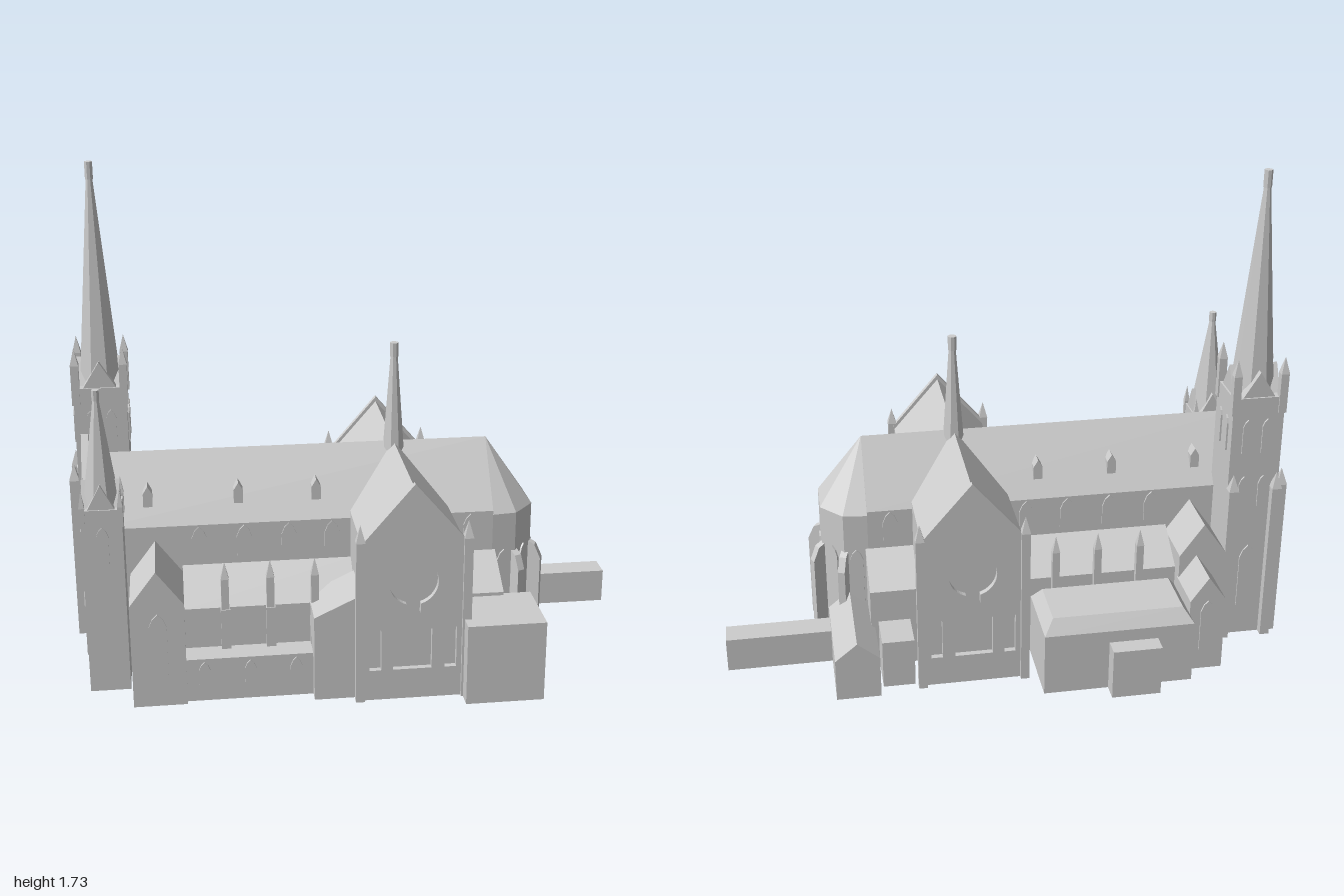
import * as THREE from 'three';

export function createModel() {
  const root = new THREE.Group();
  root.name = 'church';
  const stone = new THREE.MeshStandardMaterial({ color: 0xcccccc, flatShading: true });
  stone.name = 'stone';

  const add = (name, geo, parent = root) => {
    const m = new THREE.Mesh(geo, stone);
    m.name = name;
    parent.add(m);
    return m;
  };
  const shapeOf = pts => new THREE.Shape(pts.map(p => new THREE.Vector2(p[0], p[1])));
  const extrude = (shape, depth) => new THREE.ExtrudeGeometry(shape, { depth, bevelEnabled: false, curveSegments: 20 });

  // box given by its limits
  const block = (name, x0, x1, y0, y1, z0, z1) =>
    add(name, new THREE.BoxGeometry(x1 - x0, y1 - y0, z1 - z0).translate((x0 + x1) / 2, (y0 + y1) / 2, (z0 + z1) / 2));
  // [z, y] outline swept along x
  const alongX = (name, pts, x0, x1) =>
    add(name, extrude(shapeOf(pts.map(([z, y]) => [-z, y])), x1 - x0).rotateY(Math.PI / 2).translate(x0, 0, 0));
  // [x, y] outline swept along z
  const alongZ = (name, pts, z0, z1) => add(name, extrude(shapeOf(pts), z1 - z0).translate(0, 0, z0));
  // house-shaped outline
  const house = (a, b, eave, ridge, y0 = 0) => [[a, y0], [b, y0], [b, eave], [(a + b) / 2, ridge], [a, eave]];

  // thin pointed window, facing +z turned by ry
  const lancet = (x, y, z, w, h, ry = 0, name = 'lancetWindow') => {
    const s = w / 2;
    const m = add(name, extrude(shapeOf([[-s, 0], [s, 0], [s, h - w * 0.8], [s * 0.6, h - w * 0.3], [0, h],
      [-s * 0.6, h - w * 0.3], [-s, h - w * 0.8]]), 0.006));
    m.position.set(x, y, z);
    m.rotation.y = ry;
  };
  // square post with a pyramid cap
  const pinnacle = (x, z, y0, y1, s = 0.03, cap = 0.06) => {
    block('pinnacleShaft', x - s / 2, x + s / 2, y0, y1 - cap, z - s / 2, z + s / 2);
    add('pinnacleCap', new THREE.ConeGeometry(s * 0.75, cap, 4).rotateY(Math.PI / 4).translate(x, y1 - cap / 2, z));
  };
  // eight-sided tapering spire with a small finial
  const spire = (name, x, z, y0, y1, r0, r1, tip) => {
    const h = y1 - tip - y0;
    add(name, new THREE.CylinderGeometry(r1, r0, h, 8).rotateY(Math.PI / 8).translate(x, y0 + h / 2, z));
    add(name + 'Finial', new THREE.CylinderGeometry(r1 * 1.2, r1 * 1.2, tip, 8).rotateY(Math.PI / 8).translate(x, y1 - tip / 2, z));
  };

  const ridgeZ = 0.05, crossX = 0.148;

  // Nave with its roof, west gable and dormers
  alongX('nave', house(-0.115, 0.215, 0.54, 0.76), -0.92, 0.48);
  alongX('westGable', house(-0.115, 0.215, 0.6, 0.83), -0.94, -0.915);
  lancet(-0.94, 0, ridgeZ, 0.11, 0.22, -Math.PI / 2, 'westDoor');
  lancet(-0.94, 0.3, ridgeZ, 0.13, 0.32, -Math.PI / 2, 'westWindow');
  for (const x of [-0.72, -0.41, -0.14])
    for (const s of [-1, 1]) {
      const a = ridgeZ + s * 0.075, b = ridgeZ + s * 0.122;
      alongZ('dormer', house(x - 0.016, x + 0.016, 0.645, 0.672, 0.58), Math.min(a, b), Math.max(a, b));
    }
  for (const x of [-0.55, -0.395, -0.24, -0.09, 0.4]) {
    lancet(x, 0.42, 0.215, 0.052, 0.115);
    lancet(x, 0.42, -0.115, 0.052, 0.115, Math.PI);
  }

  // Transept: body plus end gables with openings
  alongZ('transept', house(-0.025, 0.32, 0.56, 0.76), -0.395, 0.505);
  const gable = shapeOf(house(-0.03, 0.326, 0.57, 0.778));
  const rose = new THREE.Path();
  rose.moveTo(0.212, 0.11);
  rose.lineTo(0.08, 0.11);
  rose.lineTo(0.08, 0.255);
  rose.lineTo(0.123, 0.315);
  rose.absarc(crossX, 0.43, 0.083, -1.87, -1.27, true);
  rose.lineTo(0.171, 0.315);
  rose.lineTo(0.212, 0.255);
  rose.closePath();
  gable.holes.push(rose);
  for (const x of [0.02, 0.276])
    gable.holes.push(new THREE.Path([[-0.02, 0.11], [0.02, 0.11], [0.02, 0.255], [0, 0.29], [-0.02, 0.255]]
      .map(([u, v]) => new THREE.Vector2(x + u, v))));
  for (const z of [0.505, -0.415]) add('transeptGable', extrude(gable, 0.02).translate(0, 0, z));
  for (const z of [0.522, -0.417]) for (const x of [-0.032, 0.328]) pinnacle(x, z, 0, 0.642);
  spire('crossingSpire', crossX, ridgeZ, 0.68, 1.12, 0.042, 0.013, 0.05);

  // Apse: polygonal wall, half-cone roof, windows and buttresses
  const ring = [[0.48, 0.215], [0.565, 0.205], [0.64, 0.122], [0.64, -0.022], [0.565, -0.105], [0.48, -0.115]];
  add('apseWall', extrude(shapeOf(ring.map(([x, z]) => [x, -z])), 0.525).rotateX(-Math.PI / 2));
  const cone = [];
  for (let i = 0; i < ring.length - 1; i++) {
    const [a, b] = [ring[i], ring[i + 1]];
    cone.push(a[0], 0.525, a[1], b[0], 0.525, b[1], 0.48, 0.76, ridgeZ);
    lancet((a[0] + b[0]) / 2, 0.14, (a[1] + b[1]) / 2, 0.048, 0.25, Math.atan2(a[1] - b[1], b[0] - a[0]) , 'apseWindow');
  }
  const coneGeo = new THREE.BufferGeometry();
  coneGeo.setAttribute('position', new THREE.Float32BufferAttribute(cone, 3));
  coneGeo.computeVertexNormals();
  add('apseRoof', coneGeo);
  for (const [x, z] of ring.slice(1, 5)) {
    const b = add('apseButtress', extrude(shapeOf([[-0.02, 0], [0.043, 0], [0.043, 0.32], [0.02, 0.37], [-0.02, 0.39]]), 0.026)
      .translate(0, 0, -0.013));
    b.position.set(x, 0, z);
    b.rotation.y = -Math.atan2(z - ridgeZ, x - 0.5);
  }

  // Towers: shaft, crossed gables, corner pinnacles and spire
  const tower = (name, x, z, w, top, gw, peak, r, r1, spireTop, tip, pin, ps) => {
    block(name + 'Shaft', x - w, x + w, 0, top, z - w, z + w);
    alongZ(name + 'Gable', [[x - gw, top], [x + gw, top], [x, peak]], z - w * 0.93, z + w * 0.93);
    alongX(name + 'Gable', [[z - gw, top], [z + gw, top], [z, peak]], x - w * 0.93, x + w * 0.93);
    spire(name + 'Spire', x, z, top, spireTop, r, r1, tip);
    for (const i of [-1, 1]) for (const j of [-1, 1])
      pinnacle(x + i * (w - ps * 0.3), z + j * (w - ps * 0.3), top - 0.06, pin, ps, 0.06);
  };
  tower('mainTower', -0.875, -0.178, 0.092, 0.95, 0.057, 1.042, 0.076, 0.012, 1.73, 0.06, 1.095, 0.028);
  tower('smallTower', -0.87, 0.28, 0.068, 0.665, 0.045, 0.75, 0.064, 0.011, 1.06, 0.035, 0.735, 0.018);

  // Main tower buttresses and openings
  for (const z of [-0.255, -0.105]) pinnacle(-0.983, z, 0, 0.665, 0.034);
  for (const x of [-0.955, -0.798]) pinnacle(x, -0.283, 0, 0.665, 0.034);
  for (const d of [-0.035, 0.035])
    for (const [y, h] of [[0.74, 0.13], [0.53, 0.12]]) {
      lancet(-0.875 + d, y, -0.27, 0.035, h, Math.PI, 'belfryWindow');
      lancet(-0.967, y, -0.178 + d, 0.035, h, -Math.PI / 2, 'belfryWindow');
      if (y > 0.7) {
        lancet(-0.875 + d, y, -0.086, 0.035, h, 0, 'belfryWindow');
        lancet(-0.783, y, -0.178 + d, 0.035, h, Math.PI / 2, 'belfryWindow');
      }
    }
  lancet(-0.967, 0.12, -0.178, 0.06, 0.25, -Math.PI / 2);
  lancet(-0.875, 0.12, -0.27, 0.06, 0.25, Math.PI);
  lancet(-0.87, 0.475, 0.348, 0.04, 0.13);
  lancet(-0.938, 0.475, 0.28, 0.04, 0.13, -Math.PI / 2);
  lancet(-0.938, 0.12, 0.28, 0.06, 0.23, -Math.PI / 2);

  // Gabled chapels beside the towers
  alongZ('southChapel', house(-0.79, -0.61, 0.37, 0.49), 0.2, 0.475);
  lancet(-0.7, 0.11, 0.475, 0.06, 0.23);
  alongZ('northChapel', house(-0.78, -0.61, 0.37, 0.49), -0.31, -0.1);
  alongZ('northPorch', house(-0.735, -0.608, 0.28, 0.37), -0.47, -0.3);
  lancet(-0.672, 0.08, -0.47, 0.05, 0.2, Math.PI);

  // Lean-to aisles on both sides
  for (const [x0, x1] of [[-0.61, -0.02], [0.31, 0.49]]) {
    alongX('southAisle', [[0.2, 0], [0.37, 0], [0.37, 0.3], [0.215, 0.393], [0.2, 0.393]], x0, x1);
    alongX('northAisle', [[-0.1, 0], [-0.262, 0], [-0.262, 0.3], [-0.115, 0.393], [-0.1, 0.393]], x0, x1);
  }
  for (const x of [-0.472, -0.319, -0.168]) {
    pinnacle(x, 0.375, 0.14, 0.47, 0.026);
    pinnacle(x, -0.27, 0.14, 0.47, 0.026);
    block('pinnacleBase', x - 0.016, x + 0.016, 0.14, 0.3, 0.36, 0.392);
  }

  // South side rooms
  block('southLowRoom', -0.61, -0.17, 0, 0.155, 0.36, 0.457);
  for (const x of [-0.55, -0.395, -0.24]) lancet(x, 0.06, 0.457, 0.04, 0.085);
  alongZ('southPorch', [[-0.183, 0], [-0.02, 0], [-0.02, 0.382], [-0.183, 0.305]], 0.3, 0.5);
  block('vestry', 0.32, 0.588, 0, 0.288, 0.355, 0.592);
  block('vestryLink', 0.48, 0.588, 0, 0.155, 0.215, 0.36);

  // North hall with sloping roof edges
  const hall = new THREE.BoxGeometry(0.527, 0.05, 0.265);
  const p = hall.attributes.position;
  for (let i = 0; i < p.count; i++)
    if (p.getY(i) > 0) p.setXYZ(i, p.getX(i) * 0.87, p.getY(i), p.getZ(i) * 0.72);
  block('northHall', -0.608, -0.081, 0, 0.23, -0.53, -0.25);
  add('northHallRoof', hall.translate(-0.3445, 0.255, -0.3975));
  block('northHallPorch', -0.48, -0.308, 0, 0.185, -0.592, -0.52);

  // North-east wing and long passage
  block('northEastRoom', 0.352, 0.464, 0, 0.18, -0.4, -0.25);
  alongZ('eastWing', house(0.476, 0.63, 0.155, 0.218), -0.45, -0.1);
  block('eastWingLink', 0.44, 0.5, 0, 0.15, -0.26, -0.1);
  block('eastPassage', 0.62, 1, 0, 0.125, -0.212, -0.122);

  return root;
}
